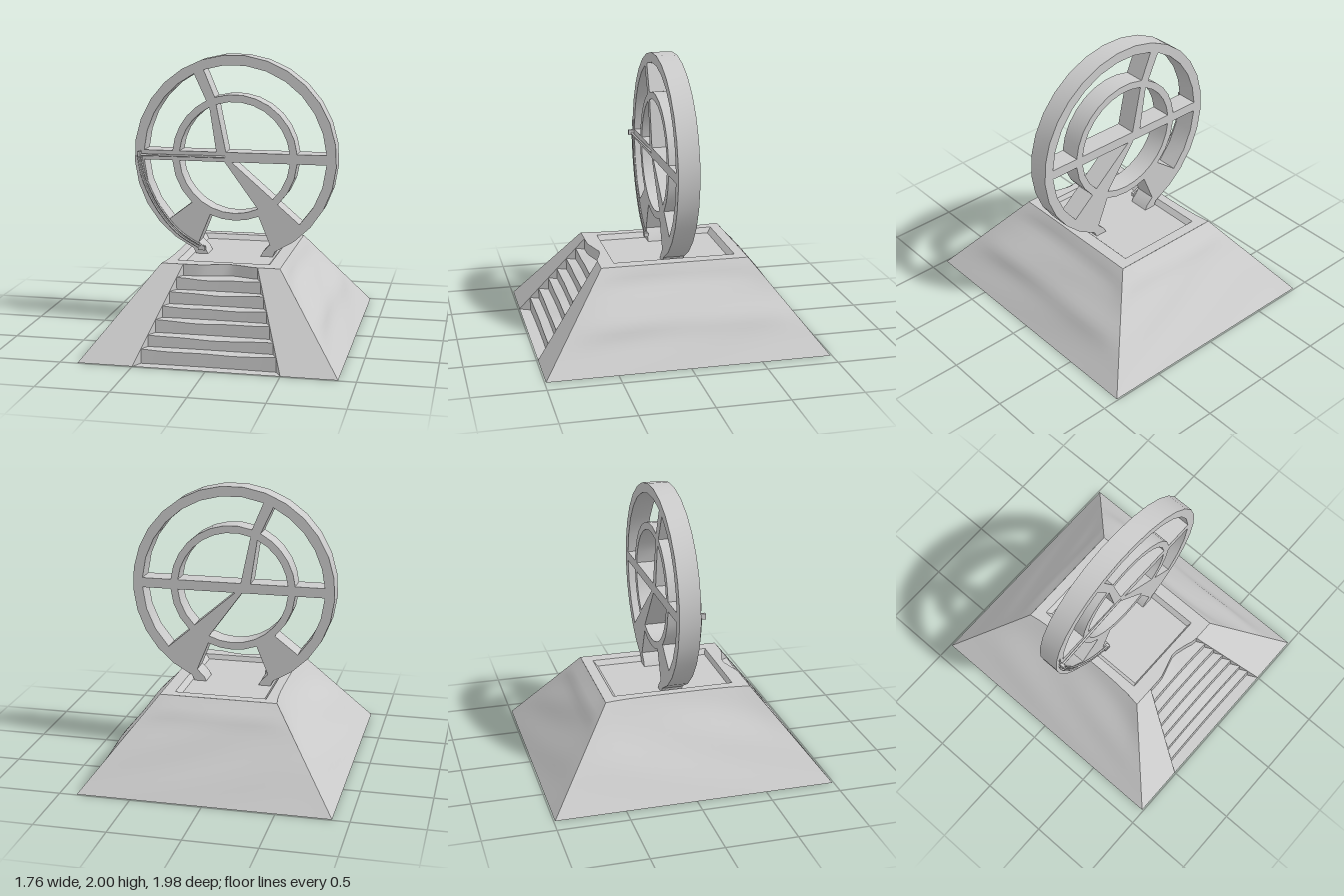
import * as THREE from 'three';
import { toCreasedNormals } from 'three/addons/utils/BufferGeometryUtils.js';

const H = 0.6, DEG = Math.PI / 180;
const STEP_Y = [0, 0.1, 0.18, 0.27, 0.35, 0.435, 0.52, H];
const material = new THREE.MeshStandardMaterial({ color: 0xcccccc, side: THREE.DoubleSide });

function add(parent, name, geometry) {
  const mesh = new THREE.Mesh(geometry, material);
  mesh.name = name;
  parent.add(mesh);
  return mesh;
}

// Surface from a rule point(u, v) -> [x, y, z]
function grid(point, nu, nv) {
  const pos = [], index = [];
  for (let j = 0; j <= nv; j++)
    for (let i = 0; i <= nu; i++) pos.push(...point(i / nu, j / nv));
  for (let j = 0; j < nv; j++)
    for (let i = 0; i < nu; i++) {
      const a = j * (nu + 1) + i, b = a + nu + 1;
      index.push(a, a + 1, b + 1, a, b + 1, b);
    }
  const g = new THREE.BufferGeometry();
  g.setAttribute('position', new THREE.Float32BufferAttribute(pos, 3));
  g.setIndex(index);
  g.computeVertexNormals();
  return g;
}

const lerp = THREE.MathUtils.lerp;
const halfX = y => 0.88 - 0.465 * y / H;
const halfZ = y => 0.99 - 0.465 * y / H;
const stairHalf = y => 0.5 - 0.4 * y;

// Weathering of the slopes, t runs from -1 to 1 along the side and fades out at the corners
const bump = (y, c, w) => Math.exp(-(((y - c) / w) ** 2));
const ripple = (t, y) => 0.006 * Math.sin(4 * t + 18 * y) * Math.sin(Math.PI * y / H);
const wear = {
  left: (t, y) => (1 - t ** 4) * (0.03 * bump(y, 0.28, 0.08) - 0.02 * bump(y, 0.49, 0.06) + ripple(t, y)),
  right: (t, y) => (1 - t ** 4) * (-0.035 * bump(y, 0.5, 0.18) + ripple(t, y)),
  back: (t, y) => (1 - t ** 4) * (0.015 * bump(y, 0.51, 0.05) + ripple(t, y)),
};

// Worn nose of step i, s runs from -1 to 1 across the stair
function nose(i, s) {
  const y = STEP_Y[i], x = s * stairHalf(y), fade = 1 - s * s;
  if (i === 7) return [x, y, halfZ(y) - 0.055 * Math.max(0, 1 - Math.abs(x - 0.06) / 0.2) * Math.min(1, fade * 2)];
  return [x, y + (0.004 * Math.sin(5 * s + i * 2.1) - 0.012) * fade, halfZ(y) - 0.006 * fade];
}

function buildBase() {
  const base = new THREE.Group();
  base.name = 'base';

  for (const [key, side] of [['left', 1], ['right', -1]]) {
    add(base, key + 'Slope', grid((u, v) => {
      const y = v * H, t = side * (1 - 2 * u);
      return [side * (halfX(y) + wear[key](t, y)), y, t * halfZ(y)];
    }, 18, 18));
    // Cheek beside the stair
    add(base, key + 'Cheek', grid((u, v) => {
      const y = v * H, a = stairHalf(y), b = halfX(y);
      return [side > 0 ? lerp(a, b, u) : -lerp(b, a, u), y, halfZ(y)];
    }, 1, 7));
  }
  add(base, 'backSlope', grid((u, v) => {
    const y = v * H, t = 1 - 2 * u;
    return [t * halfX(y), y, -halfZ(y) - wear.back(t, y)];
  }, 18, 18));

  // Stair cut into the front slope
  const stair = new THREE.Group();
  stair.name = 'stair';
  base.add(stair);
  const mix = (a, b, t) => a.map((c, k) => lerp(c, b[k], t));
  for (let i = 0; i < 7; i++) {
    const foot = s => { const p = nose(i + 1, s); return [p[0], STEP_Y[i], p[2]]; };
    const front = s => i ? nose(i, s) : [s * 0.5, 0, 0.99];
    add(stair, 'tread', grid((u, v) => mix(front(2 * u - 1), foot(2 * u - 1), v), 12, 1));
    add(stair, 'riser', grid((u, v) => mix(foot(2 * u - 1), nose(i + 1, 2 * u - 1), v), 12, 1));
    for (const s of [-1, 1]) {
      const g = new THREE.BufferGeometry().setFromPoints(
        [front(s), s > 0 ? nose(i + 1, s) : foot(s), s > 0 ? foot(s) : nose(i + 1, s)]
          .map(p => new THREE.Vector3(...p)));
      g.setIndex([0, 1, 2]);
      g.computeVertexNormals();
      add(stair, 'stairWall', g);
    }
  }

  // Rim around the sunken top, following the worn edges
  const rect = (x, z0, z1) => [[-x, z1], [x, z1], [x, z0], [-x, z0]];
  const upper = rect(0.325, -0.45, 0.42), lower = rect(0.295, -0.42, 0.405);
  const v2 = ([x, z]) => new THREE.Vector2(x, -z);
  const ts = Array.from({ length: 13 }, (_, k) => k / 6 - 1);
  const frontEdge = ts.map(s => { const p = nose(7, s); return [p[0], p[2]]; });
  const leftEdge = ts.map(t => [halfX(H) + wear.left(t, H), -t * halfZ(H)]);
  const rightEdge = ts.slice(0, -1).map(t => [-halfX(H) - wear.right(t, H), t * halfZ(H)]);
  const rim = new THREE.Shape([...rightEdge, [-halfX(H), halfZ(H)], ...frontEdge, ...leftEdge].map(v2));
  rim.holes.push(new THREE.Path(upper.map(v2)));
  add(base, 'topRim', new THREE.ShapeGeometry(rim).rotateX(-Math.PI / 2).translate(0, H, 0));
  const floorY = 0.565;
  for (let k = 0; k < 4; k++) {
    const n = (k + 1) % 4;
    add(base, 'recessWall', grid((u, v) => [
      lerp(lerp(upper[k][0], upper[n][0], u), lerp(lower[k][0], lower[n][0], u), v),
      lerp(H, floorY, v),
      lerp(lerp(upper[k][1], upper[n][1], u), lerp(lower[k][1], lower[n][1], u), v)], 1, 1));
  }
  add(base, 'recessFloor', new THREE.ShapeGeometry(new THREE.Shape(lower.map(v2)))
    .rotateX(-Math.PI / 2).translate(0, floorY, 0));
  return base;
}

function buildWheel() {
  const R = 0.73, RI = 0.66, r = 0.452, ri = 0.4;
  // Points along an arc, angles in degrees
  const arc = (rad, a, b) => {
    const n = Math.max(2, Math.round(Math.abs(b - a) / 12.5));
    return Array.from({ length: n + 1 }, (_, k) => {
      const t = lerp(a, b, k / n) * DEG;
      return [rad * Math.cos(t), rad * Math.sin(t)];
    });
  };
  const up = rad => Math.asin(0.04 / rad) / DEG, down = rad => Math.asin(0.03 / rad) / DEG;
  const toVec = pts => pts.map(p => new THREE.Vector2(...p));

  // Outline: open ring standing on two feet
  const shape = new THREE.Shape(toVec([
    ...arc(R, -66, 246), [-0.27, -0.73], [-0.18, -0.73], [-0.21, -0.67], [-0.26, -0.62],
    ...arc(r, 247, 293), [0.26, -0.62], [0.21, -0.67], [0.18, -0.73], [0.27, -0.73],
  ]));
  // Openings between rings, bar, spoke and struts
  const holes = [
    [...arc(RI, up(RI), 109.5), ...arc(r, 108, up(r))],
    [...arc(RI, 116, 180 - up(RI)), ...arc(r, 180 - up(r), 116.5)],
    [[-0.06, 0.04], ...arc(ri, up(ri), 109)],
    [[-0.13, 0.04], ...arc(ri, 116.5, 180 - up(ri))],
    [[-0.07, -0.03], ...arc(ri, 180 + down(ri), 295.3)],
    [[-0.02, -0.03], ...arc(ri, -46, -down(ri))],
    [...arc(RI, 180 + down(RI), 224), ...arc(r, 227, 180 + down(r))],
    [...arc(RI, -44.4, -down(RI)), ...arc(r, -down(r), -46)],
  ];
  holes.forEach(h => shape.holes.push(new THREE.Path(toVec(h))));
  const g = new THREE.ExtrudeGeometry(shape, { depth: 0.15, bevelEnabled: false });
  return toCreasedNormals(g, 0.4).translate(0, 1.27, -0.09);
}

function buildPointer() {
  const pointer = new THREE.Group();
  pointer.name = 'pointer';
  const box = (name, w, h, d, x, y, z) =>
    add(pointer, name, new THREE.BoxGeometry(w, h, d)).position.set(x, y, z);
  const tube = (name, points, segments, radius) => add(pointer, name, new THREE.TubeGeometry(
    new THREE.CatmullRomCurve3(points.map(p => new THREE.Vector3(...p))), segments, radius, 6));
  // Twin rails following the ring down to the foot
  for (const o of [0, 0.022])
    tube('curvedRail', [[-0.705, 1.27, 0.066], [-0.68, 1.13, 0.066], [-0.61, 0.96, 0.068],
      [-0.51, 0.81, 0.07], [-0.4, 0.7, 0.072], [-0.24, 0.605, 0.074]]
      .map(([x, y, z]) => [x + o, y + o * 0.5, z]), 20, 0.007);
  tube('crossRod', [[-0.7, 1.275, 0.076], [-0.065, 1.277, 0.062]], 1, 0.008);
  box('tip', 0.01, 0.15, 0.01, -0.69, 1.3, 0.064);
  box('pivot', 0.02, 0.04, 0.04, -0.69, 1.28, 0.08);
  box('footBlock', 0.05, 0.03, 0.03, -0.235, 0.61, 0.07);
  return pointer;
}

export function createModel() {
  const model = new THREE.Group();
  model.name = 'wheelMonument';
  model.add(buildBase(), buildPointer());
  add(model, 'wheel', buildWheel());
  return model;
}
